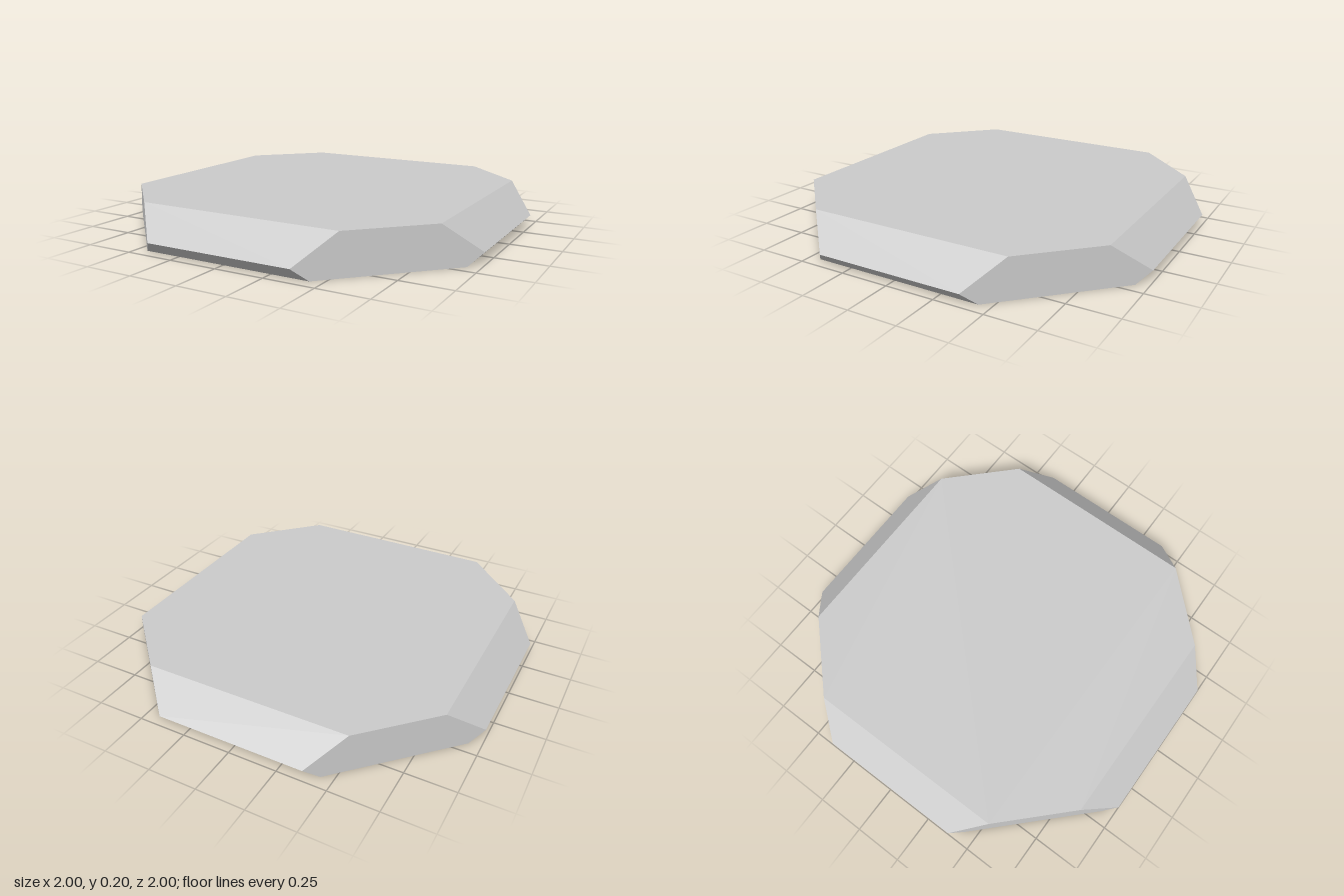
import * as THREE from 'three';
import { ConvexGeometry } from 'three/addons/geometries/ConvexGeometry.js';

// Half-width of the slab at each height; its four diagonal walls stay vertical.
const levels = [
  { y: 0, half: 0.94 },
  { y: 0.06, half: 0.998 },
  { y: 0.205, half: 0.85 },
];
const diagonal = 1.38; // |x| + |z| on the diagonal walls

export function createModel() {
  const group = new THREE.Group();
  group.name = 'octagonalSlab';

  // Eight mirrored corners per level
  const points = [];
  for (const { y, half } of levels) {
    const short = diagonal - half;
    for (const sx of [-1, 1]) {
      for (const sz of [-1, 1]) {
        points.push(new THREE.Vector3(sx * half, y, sz * short));
        points.push(new THREE.Vector3(sx * short, y, sz * half));
      }
    }
  }

  // Faceted slab with bevelled straight sides
  const slab = new THREE.Mesh(
    new ConvexGeometry(points),
    new THREE.MeshStandardMaterial({ color: 0xcccccc, flatShading: true })
  );
  slab.name = 'slab';
  group.add(slab);
  return group;
}
